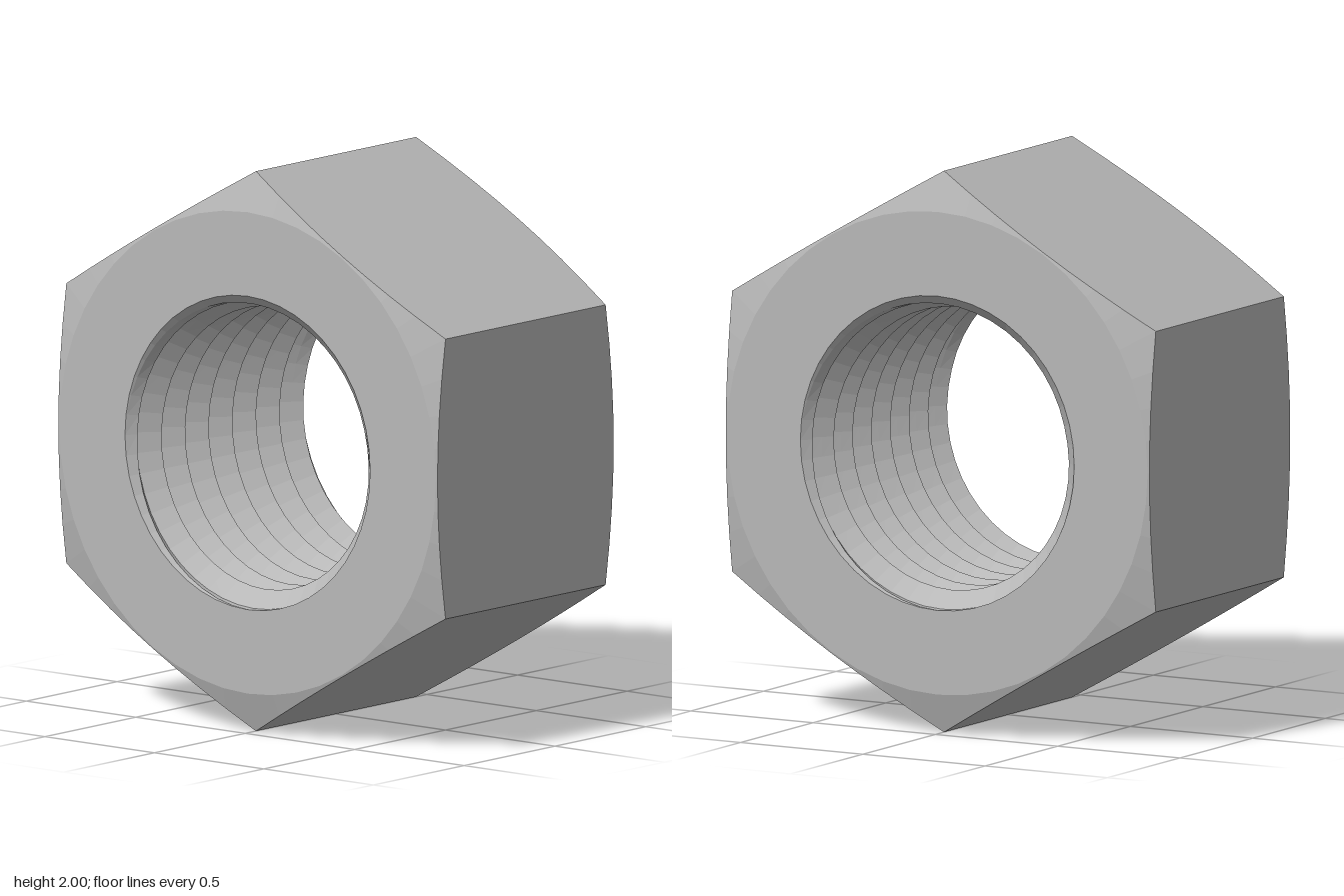
import * as THREE from 'three';

const HALF = 0.487;      // half thickness
const SEGS = 48;         // steps around the axis, a multiple of 6
const CREST = 0.5, ROOT = 0.56, PITCH = 0.13;
const FLAT = 0.86;       // radius where the corner chamfer starts

// Surface swept around z: point(row, angle) returns [radius, z]
function sweep(rows, point) {
  const pos = [], index = [], w = SEGS + 1;
  for (let i = 0; i < rows; i++) {
    for (let j = 0; j <= SEGS; j++) {
      const a = (j / SEGS) * Math.PI * 2;
      const [r, z] = point(i, a);
      pos.push(-r * Math.sin(a), r * Math.cos(a), z);
      if (i < rows - 1 && j < SEGS) {
        const k = i * w + j;
        index.push(k, k + w, k + w + 1, k, k + w + 1, k + 1);
      }
    }
  }
  const geo = new THREE.BufferGeometry();
  geo.setAttribute('position', new THREE.Float32BufferAttribute(pos, 3));
  geo.setIndex(index);
  const flat = geo.toNonIndexed();
  flat.computeVertexNormals();
  return flat;
}

// Radius of the hexagon, with a corner at angle 0
function hexRadius(a) {
  const t = a % (Math.PI / 3);
  return Math.cos(Math.PI / 6) / Math.cos(t - Math.PI / 6);
}

export function createModel() {
  const group = new THREE.Group();
  group.name = 'hexNut';
  const steel = new THREE.MeshStandardMaterial({ color: 0xb8b8b8, flatShading: true });
  steel.name = 'grey steel';

  const add = (name, geo) => {
    const mesh = new THREE.Mesh(geo, steel);
    mesh.name = name;
    mesh.position.y = 1;
    group.add(mesh);
  };

  // Hexagonal body: front ring, chamfer, six sides, chamfer, back ring
  add('hexBody', sweep(6, (i, a) => {
    const hex = hexRadius(a);
    const edge = HALF - (hex - FLAT) * 0.33;
    return [[ROOT, HALF], [FLAT, HALF], [hex, edge], [hex, -edge], [FLAT, -HALF], [ROOT, -HALF]][i];
  }));

  // Threaded bore: helical rows alternating root and crest, cut off at both faces
  const turns = Math.ceil(HALF / PITCH) + 1;
  add('threadedBore', sweep(turns * 8 + 1, (i, a) => {
    const raw = (i / 4 - turns + a / (Math.PI * 2)) * PITCH;
    const z = THREE.MathUtils.clamp(raw, -HALF, HALF);
    const thread = [ROOT, (ROOT + CREST) / 2, CREST, (ROOT + CREST) / 2][i % 4];
    const countersink = ROOT - (HALF - Math.abs(z));
    return [Math.max(thread, countersink), z];
  }));

  return group;
}
